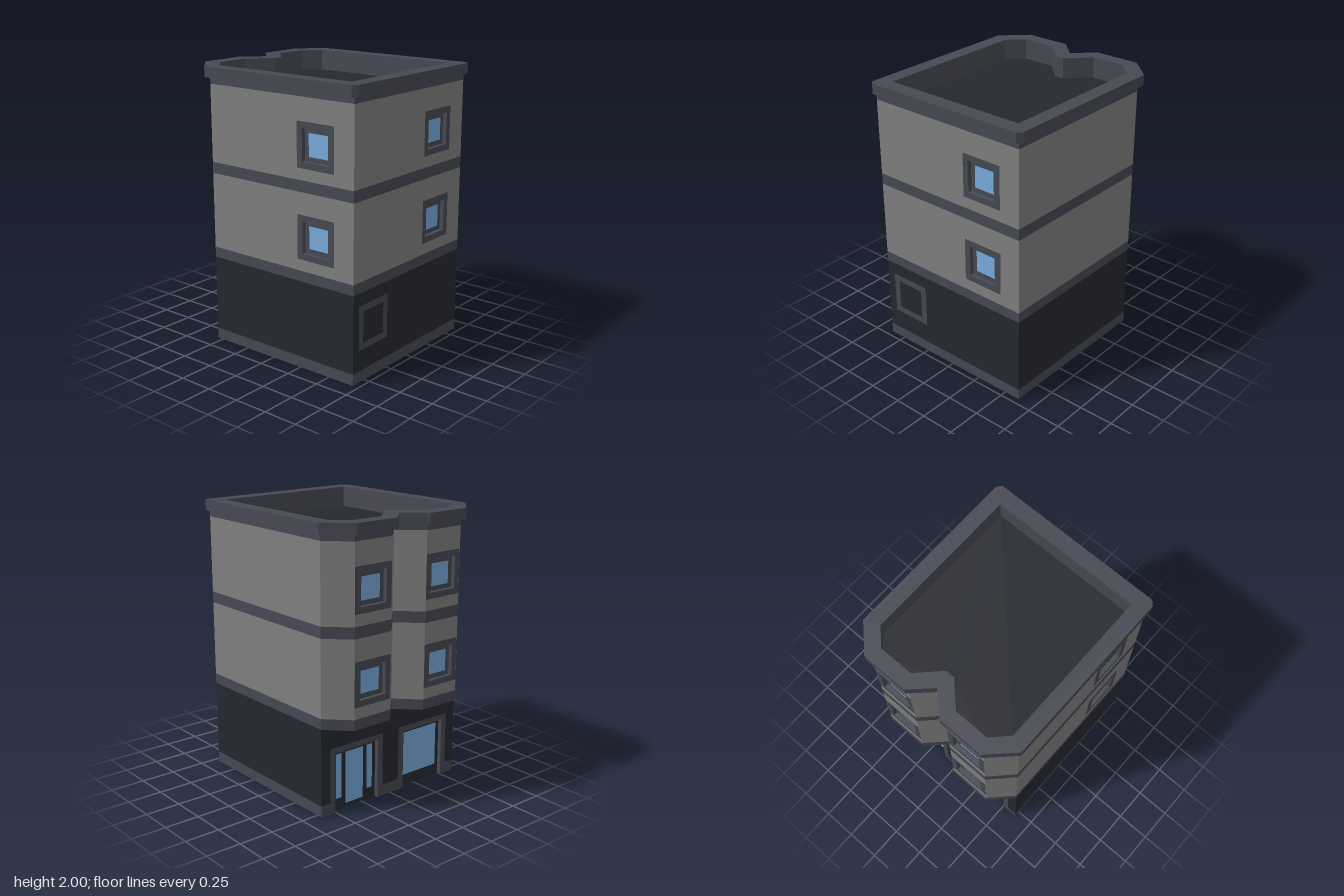
import * as THREE from 'three';

const mat = (color) => new THREE.MeshStandardMaterial({ color });
const STONE = mat(0x808080), TRIM = mat(0x474953), DARK = mat(0x252830), GLASS = mat(0x78acde);
const RECESS = 0.03;

const W = 0.622, FRONT = 0.705, BACK = -0.545, BAY = -0.7;
const WINDOW_Y = [0.94, 1.565];

const poly = (pts) => pts.map(([x, y]) => new THREE.Vector2(x, y));
const rect = (u0, u1, y0, y1) => [[u0, y0], [u1, y0], [u1, y1], [u0, y1]];
const square = (u, y, h) => rect(u - h, u + h, y - h, y + h);

function shapeOf(pts, holes = []) {
  const s = new THREE.Shape(poly(pts));
  s.holes = holes.map((h) => new THREE.Path(poly(h)));
  return s;
}

function add(parent, name, geometry, material) {
  const m = new THREE.Mesh(geometry, material);
  m.name = name;
  parent.add(m);
  return m;
}

// Flat panel in a wall's own plane (u along the wall, y up)
function panel(wall, name, pts, material, holes = [], z = 0) {
  return add(wall, name, new THREE.ShapeGeometry(shapeOf(pts, holes)), material).translateZ(z);
}

// Surround flush with the wall whose thickness forms the reveal
function surround(wall, name, pts, holes = []) {
  const g = new THREE.ExtrudeGeometry(shapeOf(pts, holes), { depth: RECESS, bevelEnabled: false });
  add(wall, name, g, TRIM).position.z = -RECESS;
}

// Recessed panel with glass panes set into it
function glazing(wall, pts, panes, material) {
  panel(wall, 'recessPanel', pts, material, panes, -RECESS);
  panes.forEach((p) => panel(wall, 'glassPane', p, GLASS, [], -RECESS));
}

// Group whose x axis runs from plan point a to b, facing outward along z
function wallGroup(parent, name, a, b) {
  const g = new THREE.Group();
  g.name = name;
  g.position.set(a[0], 0, a[1]);
  g.rotation.y = Math.atan2(a[1] - b[1], b[0] - a[0]);
  parent.add(g);
  return { g, len: Math.hypot(b[0] - a[0], b[1] - a[1]) };
}

// Two upper storeys with string courses; windowU places a window on each storey
function upperWall(g, len, windowU) {
  const levels = [
    [0.63, 0.705, TRIM], [0.705, 1.25, STONE], [1.25, 1.33, TRIM],
    [1.33, 1.88, STONE], [1.88, 1.925, TRIM],
  ];
  for (const [y0, y1, m] of levels) {
    const ys = windowU === undefined ? [] : WINDOW_Y.filter((y) => y > y0 && y < y1);
    const holes = ys.map((y) => square(windowU, y, 0.1555));
    panel(g, m === TRIM ? 'stringCourse' : 'storeyWall', rect(0, len, y0, y1), m, holes);
    for (const y of ys) {
      surround(g, 'windowSurround', square(windowU, y, 0.1555), [square(windowU, y, 0.112)]);
      glazing(g, square(windowU, y, 0.112), [square(windowU, y, 0.079)], TRIM);
    }
  }
}

function groundWall(g, len, holes = []) {
  panel(g, 'plinth', rect(0, len, 0, 0.08), TRIM);
  panel(g, 'groundWall', rect(0, len, 0.08, 0.63), DARK, holes);
}

// Horizontal face from plan points [x, z]
function slab(parent, name, pts, y, up, material) {
  const s = shapeOf(pts.map(([x, z]) => [x, up ? -z : z]));
  const m = add(parent, name, new THREE.ShapeGeometry(s), material);
  m.rotation.x = up ? -Math.PI / 2 : Math.PI / 2;
  m.position.y = y;
}

// Right half of a plan mirrored into a closed outline
const mirrored = (half) => [...half, ...half.filter(([x]) => x > 0).reverse().map(([x, z]) => [-x, z])];

export function createModel() {
  const model = new THREE.Group();
  model.name = 'cornerBuilding';

  // Plain walls: front and both sides
  const fl = [-W, FRONT], fr = [W, FRONT], br = [W, BACK], bl = [-W, BACK];
  const front = wallGroup(model, 'frontWall', fl, fr);
  upperWall(front.g, front.len, W + 0.31);
  const blindU = W - 0.4025, blindY = 0.3825;
  groundWall(front.g, front.len, [square(blindU, blindY, 0.157)]);
  panel(front.g, 'blindWindowFrame', square(blindU, blindY, 0.157), TRIM, [square(blindU, blindY, 0.11)]);
  panel(front.g, 'blindWindow', square(blindU, blindY, 0.11), DARK);

  const plain = wallGroup(model, 'plainSideWall', fr, br);
  upperWall(plain.g, plain.len);
  groundWall(plain.g, plain.len);

  const side = wallGroup(model, 'windowedSideWall', bl, fl);
  upperWall(side.g, side.len, 0.39 - BACK);
  groundWall(side.g, side.len);

  // Two canted bays on the upper storeys
  const bays = [[W, BACK], [0.469, BAY], [0.155, BAY], [0, BACK], [-0.155, BAY], [-0.469, BAY], [-W, BACK]];
  for (let i = 0; i < bays.length - 1; i++) {
    const f = wallGroup(model, 'bayFacet', bays[i], bays[i + 1]);
    upperWall(f.g, f.len, i === 1 || i === 4 ? f.len / 2 : undefined);
  }
  slab(model, 'baySoffit', bays.slice(0, 4), 0.63, false, DARK);
  slab(model, 'baySoffit', bays.slice(3), 0.63, false, DARK);

  // Street wall with entrance and shop window, both open down to the ground
  const street = wallGroup(model, 'streetWall', br, bl);
  const centres = [W - 0.31, W + 0.31], outer = 0.235, inner = 0.19, top = 0.47, head = 0.43;
  const outline = [[0, 0.08]];
  let start = 0;
  for (const c of centres) {
    outline.push([c - outer, 0.08], [c - outer, top], [c + outer, top], [c + outer, 0.08]);
    panel(street.g, 'plinth', rect(start, c - outer, 0, 0.08), TRIM);
    start = c + outer;
    surround(street.g, 'openingSurround', [
      [c - outer, 0], [c - inner, 0], [c - inner, head], [c + inner, head],
      [c + inner, 0], [c + outer, 0], [c + outer, top], [c - outer, top],
    ]);
  }
  panel(street.g, 'plinth', rect(start, street.len, 0, 0.08), TRIM);
  outline.push([street.len, 0.08], [street.len, 0.63], [0, 0.63]);
  panel(street.g, 'groundWall', outline, DARK);
  const [door, shop] = centres;
  glazing(street.g, rect(door - inner, door + inner, 0, head), [
    rect(door - 0.162, door - 0.112, 0.08, 0.405),
    rect(door - 0.079, door + 0.079, 0.025, 0.405),
    rect(door + 0.112, door + 0.162, 0.08, 0.405),
  ], DARK);
  glazing(street.g, rect(shop - inner, shop + inner, 0, head), [rect(shop - 0.16, shop + 0.16, 0.08, 0.405)], DARK);

  // Underside, notched at the two openings
  const z1 = BACK + RECESS;
  slab(model, 'underside', mirrored([
    [W, FRONT], [W, BACK], [0.31 + inner, BACK], [0.31 + inner, z1], [0.31 - inner, z1], [0.31 - inner, BACK],
  ]), 0, false, DARK);

  // Coping with parapet and sunken flat roof
  const coping = mirrored([
    [0.625, 0.735], [0.655, 0.705], [0.655, -0.565], [0.482, -0.735], [0.145, -0.735], [0, -0.595],
  ]);
  const inside = mirrored([[0.547, 0.622], [0.547, -0.52], [0.438, -0.63], [0.188, -0.63], [0.033, -0.475]]);
  const flip = (pts) => pts.map(([x, z]) => [x, -z]);
  const ring = new THREE.ExtrudeGeometry(shapeOf(flip(coping), [flip(inside)]), { depth: 0.075, bevelEnabled: false });
  ring.rotateX(-Math.PI / 2);
  add(model, 'coping', ring, TRIM).position.y = 1.925;
  inside.forEach((p, i) => {
    const w = wallGroup(model, 'parapet', inside[(i + 1) % inside.length], p);
    panel(w.g, 'parapetInside', rect(0, w.len, 1.85, 1.925), TRIM);
  });
  slab(model, 'flatRoof', inside, 1.85, true, DARK);

  return model;
}
